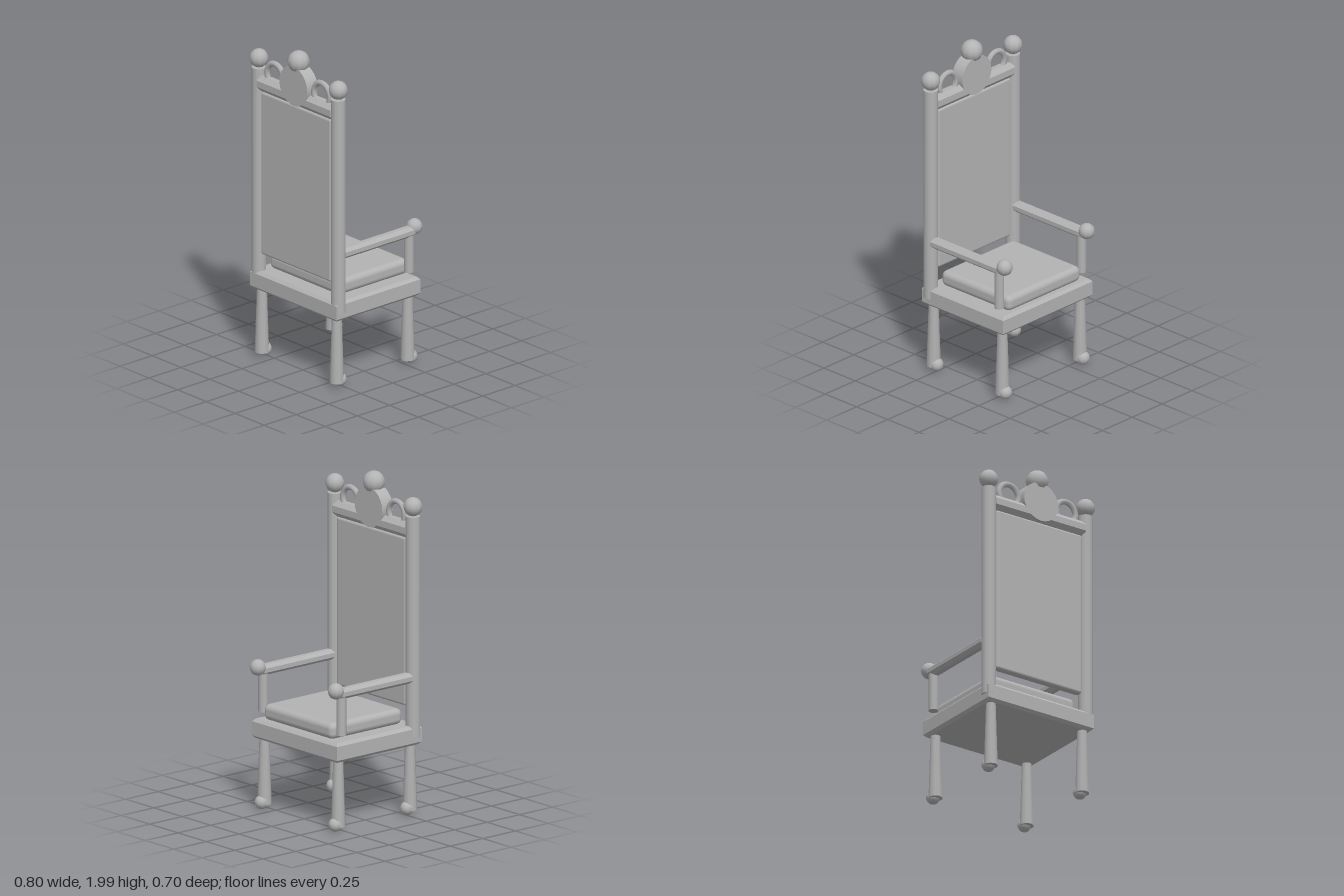
import * as THREE from 'three';
import { RoundedBoxGeometry } from 'three/addons/geometries/RoundedBoxGeometry.js';
import { toCreasedNormals } from 'three/addons/utils/BufferGeometryUtils.js';

export function createModel() {
  const chair = new THREE.Group();
  chair.name = 'highBackArmchair';
  const grey = new THREE.MeshStandardMaterial({ color: 0xb3b3b3 });
  grey.name = 'plainGrey';

  const add = (name, geometry, x, y, z) => {
    const mesh = new THREE.Mesh(geometry, grey);
    mesh.name = name;
    mesh.position.set(x, y, z);
    chair.add(mesh);
    return mesh;
  };
  const ball = (r) => new THREE.SphereGeometry(r, 10, 12);
  // Eight-sided bar with flat faces square to the axes, a and b are its half widths
  const bar = (a, b, length) => {
    const k = 1 / Math.cos(Math.PI / 8);
    const g = new THREE.CylinderGeometry(k, k, length, 8).rotateY(Math.PI / 8).scale(a, 1, b);
    return toCreasedNormals(g, 0.5);
  };
  // Box with a single flat chamfer along every top and bottom edge
  const chamferedBox = (w, h, d, c) => {
    const x = w / 2 - c, z = d / 2 - c;
    const s = new THREE.Shape([[-x, -z], [x, -z], [x, z], [-x, z]].map((p) => new THREE.Vector2(...p)));
    const g = new THREE.ExtrudeGeometry(s, {
      depth: h - 2 * c, bevelSize: c, bevelThickness: c, bevelSegments: 1,
    });
    return g.rotateX(-Math.PI / 2).translate(0, c - h / 2, 0);
  };

  const backZ = 0.284;

  // Seat; the chair faces -z
  add('seatFrame', chamferedBox(0.75, 0.118, 0.651, 0.017), 0, 0.487, 0);
  add('seatCushion', new RoundedBoxGeometry(0.61, 0.095, 0.55, 3, 0.034), 0, 0.597, -0.03);

  // Backrest
  add('backPanel', new RoundedBoxGeometry(0.61, 1.012, 0.05, 2, 0.016), 0, 1.16, backZ);
  add('topRail', bar(0.047, 0.041, 0.64), 0, 1.712, backZ).rotation.z = Math.PI / 2;
  const crest = new THREE.CylinderGeometry(0.121, 0.121, 0.082, 24).rotateX(Math.PI / 2);
  add('crestDisc', crest, 0, 1.79, backZ);
  add('crestBall', ball(0.066), 0, 1.934, backZ);

  for (const side of [-1, 1]) {
    const x = side * 0.344;
    // Back posts, finials and crest rings
    add('backPost', new THREE.CylinderGeometry(0.043, 0.043, 1.32, 12), x, 1.14, backZ);
    add('postFinial', ball(0.056), x, 1.856, backZ);
    add('crestRing', new THREE.TorusGeometry(0.069, 0.018, 6, 20), side * 0.203, 1.79, backZ);

    // Arms
    add('armRest', bar(0.035, 0.031, 0.54), x, 0.835, -0.015).rotation.x = Math.PI / 2;
    add('armPost', new THREE.CylinderGeometry(0.029, 0.029, 0.24, 10), x, 0.705, -0.265);
    add('armBall', ball(0.048), x, 0.855, -0.307);

    // Legs with ball feet set forward
    for (const z of [-0.272, 0.278]) {
      add('leg', new THREE.CylinderGeometry(0.029, 0.042, 0.41, 10), side * 0.325, 0.24, z);
      add('ballFoot', ball(0.041), side * 0.325, 0.048, z - 0.023);
    }
  }
  return chair;
}
